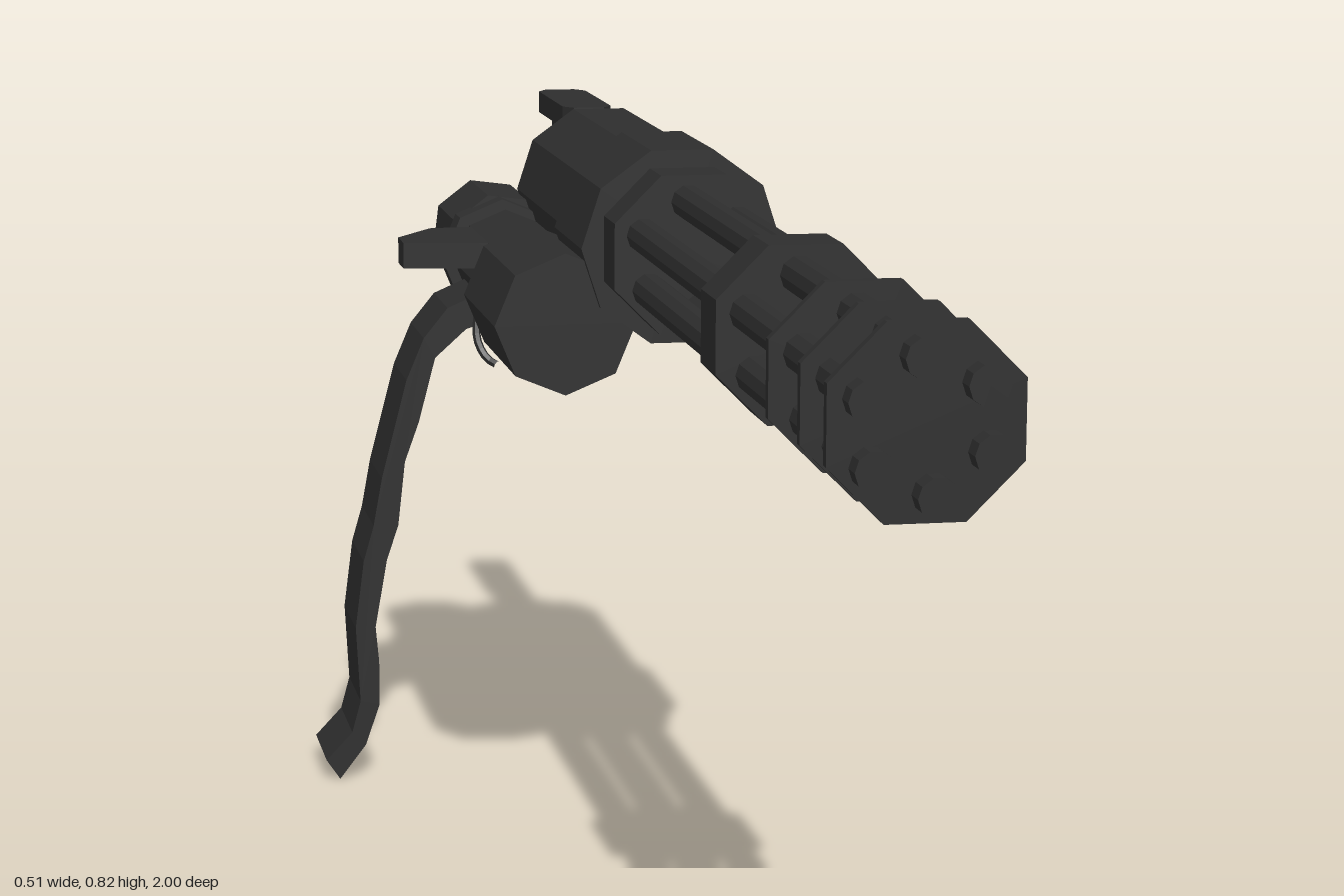
import * as THREE from 'three';

const gunmetal = new THREE.MeshStandardMaterial({ color: 0x2d2d2d });
gunmetal.name = 'gunmetal';

const AX = 0.136, AY = 0.711; // barrel axis

export function createModel() {
  const model = new THREE.Group();
  model.name = 'rotaryGun';

  // Faceted mesh: split vertices so every face keeps its own normal
  const add = (name, geometry, parent = model) => {
    const g = geometry.index ? geometry.toNonIndexed() : geometry;
    g.computeVertexNormals();
    const mesh = new THREE.Mesh(g, gunmetal);
    mesh.name = name;
    parent.add(mesh);
    return mesh;
  };

  // Prism along z, with one corner at the given angle in degrees
  const prism = (name, x, y, z0, z1, r0, r1, sides, angle = 0, parent = model) => {
    const g = new THREE.CylinderGeometry(r1, r0, z1 - z0, sides);
    g.rotateX(Math.PI / 2);
    g.rotateZ(THREE.MathUtils.degToRad(angle + 90));
    g.translate(x, y, (z0 + z1) / 2);
    return add(name, g, parent);
  };

  const box = (name, x0, x1, y0, y1, z0, z1) => {
    const g = new THREE.BoxGeometry(x1 - x0, y1 - y0, z1 - z0);
    g.translate((x0 + x1) / 2, (y0 + y1) / 2, (z0 + z1) / 2);
    return add(name, g);
  };

  const outline = (pts) => new THREE.Shape(pts.map(([x, y]) => new THREE.Vector2(x, y)));

  // Plate from an outline in (x, z), standing between two heights
  const flatPlate = (name, pts, y0, y1) => {
    const g = new THREE.ExtrudeGeometry(outline(pts.map(([x, z]) => [x, -z])), { depth: y1 - y0, bevelEnabled: false });
    g.rotateX(-Math.PI / 2);
    g.translate(0, y0, 0);
    return add(name, g);
  };

  // Six barrels
  const barrels = new THREE.Group();
  barrels.name = 'barrels';
  model.add(barrels);
  for (let i = 0; i < 6; i++) {
    const a = THREE.MathUtils.degToRad(36 + i * 60);
    prism('barrel', AX + 0.064 * Math.cos(a), AY - 0.002 + 0.064 * Math.sin(a), -0.1, 1, 0.02, 0.02, 10, 0, barrels);
  }

  // Barrel clamps and collar
  for (const z of [0.73, 0.865, 0.97]) prism('barrelRing', AX, AY, z - 0.005, z + 0.006, 0.1, 0.1, 8, 22.5);
  prism('barrelClamp', AX, AY, 0.415, 0.49, 0.1, 0.1, 8, 22.5);
  prism('frontCollar', AX, AY, -0.16, -0.08, 0.1, 0.1, 8, 22.5);

  // Main housing
  prism('housingFront', AX, AY, -0.34, -0.15, 0.119, 0.119, 10);
  prism('housingTaper', AX, AY, -0.375, -0.34, 0.107, 0.119, 10);
  prism('housingRear', AX, AY, -0.708, -0.375, 0.107, 0.107, 10);
  prism('rearHub', AX, AY, -0.722, -0.7, 0.05, 0.05, 10);

  // Rear handle
  prism('handleStem', AX, AY + 0.002, -0.78, -0.715, 0.023, 0.023, 8, 22.5);
  prism('handleRod', AX, AY + 0.002, -0.948, -0.78, 0.014, 0.014, 8, 22.5);
  box('handlePost', AX - 0.03, AX + 0.03, 0.612, 0.785, -0.897, -0.868);
  flatPlate('handleGrip', [
    [0.102, -0.785], [0.114, -0.767], [0.154, -0.767], [0.166, -0.785],
    [0.166, -0.98], [0.154, -1], [0.114, -1], [0.102, -0.98],
  ], 0.78, 0.808);

  // Side motor
  prism('motorFront', 0, 0.621, -0.41, -0.16, 0.084, 0.084, 8);
  prism('motorMiddle', 0, 0.63, -0.63, -0.41, 0.066, 0.066, 8);
  prism('motorClamp', -0.004, 0.632, -0.662, -0.62, 0.077, 0.077, 8);
  prism('motorRear', 0, 0.643, -0.808, -0.65, 0.07, 0.07, 8, 15);

  // Feed tray
  flatPlate('feedTray', [
    [0, -0.45], [-0.06, -0.46], [-0.15, -0.475], [-0.15, -0.525], [-0.1, -0.6], [0, -0.61],
  ], 0.645, 0.677);

  // Hanging ammunition belt
  const belt = new THREE.ExtrudeGeometry(outline([
    [-0.045, 0.62], [-0.098, 0.597], [-0.128, 0.56], [-0.15, 0.508], [-0.182, 0.385],
    [-0.193, 0.325], [-0.206, 0.28], [-0.217, 0.195], [-0.212, 0.1], [-0.223, 0.06],
    [-0.256, 0.025], [-0.239, 0], [-0.206, 0.043], [-0.188, 0.095], [-0.188, 0.15],
    [-0.192, 0.195], [-0.177, 0.28], [-0.162, 0.325], [-0.153, 0.405], [-0.135, 0.455],
    [-0.114, 0.535], [-0.075, 0.57], [-0.045, 0.58],
  ]), { depth: 0.125, bevelEnabled: false });
  belt.translate(0, 0, -0.582);
  add('ammunitionBelt', belt);

  // Small hook under the motor
  const hook = new THREE.CatmullRomCurve3([
    [-0.066, 0.6, -0.42], [-0.068, 0.565, -0.41], [-0.058, 0.543, -0.4], [-0.047, 0.536, -0.39],
  ].map((p) => new THREE.Vector3(...p)));
  add('hook', new THREE.TubeGeometry(hook, 8, 0.005, 6));

  return model;
}
